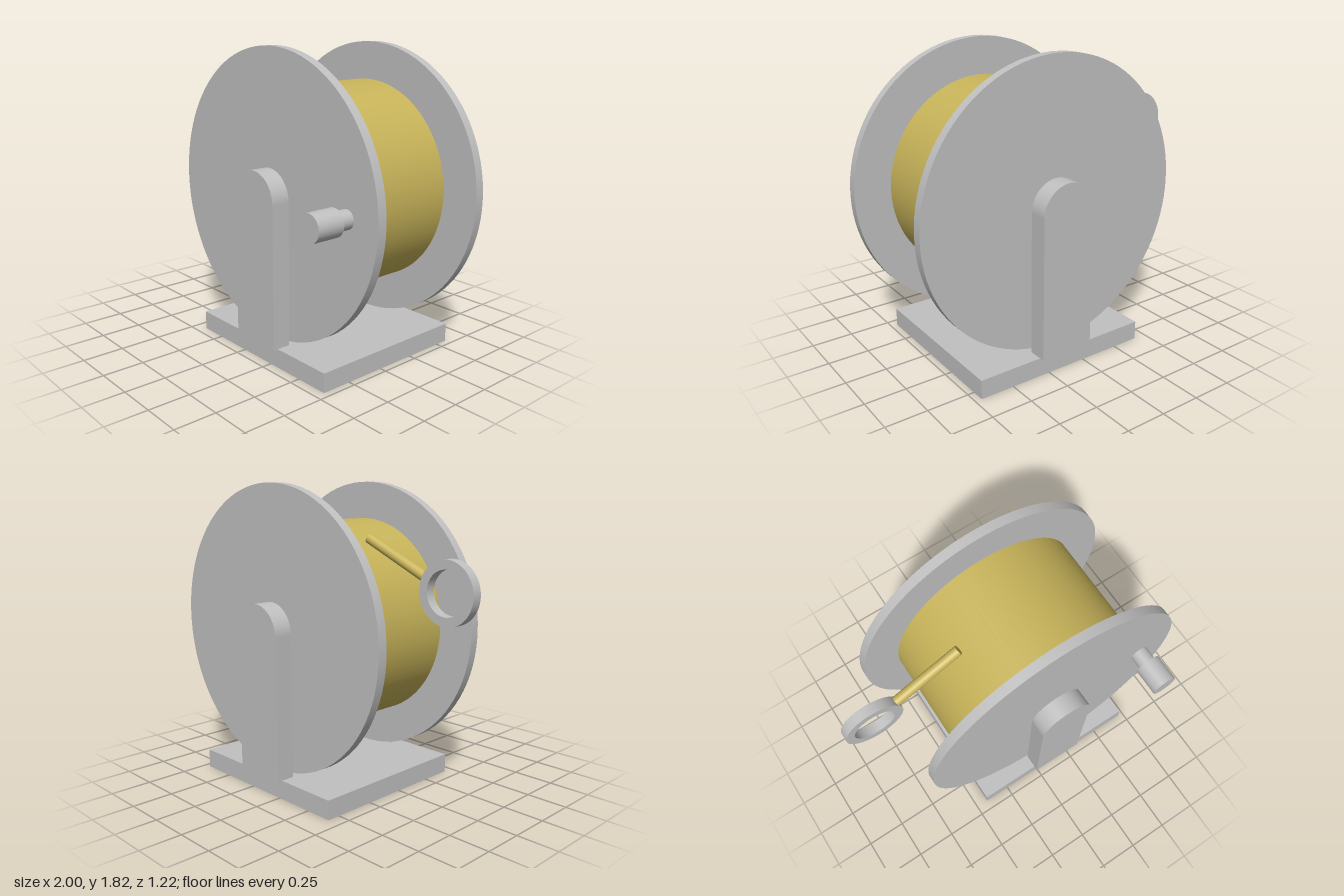
import * as THREE from 'three';

export function createModel() {
  const reel = new THREE.Group();
  reel.name = 'reel';
  const grey = new THREE.MeshStandardMaterial({ color: 0xc0c0c0 });
  grey.name = 'light grey metal';
  const gold = new THREE.MeshStandardMaterial({ color: 0xc8b45a });
  gold.name = 'golden line';

  const CX = 0.145, CY = 0.97, CZ = -0.07; // middle of the spool

  const add = (name, geometry, material, x, y, z) => {
    const mesh = new THREE.Mesh(geometry, material);
    mesh.name = name;
    mesh.position.set(x, y, z);
    reel.add(mesh);
    return mesh;
  };

  // Cylinder lying along z, from z0 to z1
  const rod = (name, radius, x, y, z0, z1, material = grey) => {
    const geometry = new THREE.CylinderGeometry(radius, radius, z1 - z0, 96);
    geometry.rotateX(Math.PI / 2);
    return add(name, geometry, material, x, y, (z0 + z1) / 2);
  };

  const extrude = (shape, depth) => {
    const geometry = new THREE.ExtrudeGeometry(shape, { depth, bevelEnabled: false, curveSegments: 48 });
    geometry.translate(0, 0, -depth / 2);
    return geometry;
  };

  // Base plate
  add('base', new THREE.BoxGeometry(1.13, 0.115, 1.02), grey, CX, 0.0575, CZ);

  // Spool: wound line, core and axle
  rod('woundLine', 0.623, CX, CY, CZ - 0.357, CZ + 0.357, gold);
  rod('core', 0.34, CX, CY, CZ - 0.364, CZ + 0.364);
  rod('axle', 0.065, CX, CY, CZ - 0.45, CZ + 0.45);

  // Round-topped post, drawn around the axle
  const post = new THREE.Shape();
  post.moveTo(-0.17, 0.115 - CY);
  post.lineTo(0.17, 0.115 - CY);
  post.lineTo(0.17, 0);
  post.absarc(0, 0, 0.17, 0, Math.PI, false);
  post.closePath();

  // Flanges and posts on both sides
  for (const [side, s] of [['front', 1], ['back', -1]]) {
    const z = CZ + s * 0.391;
    rod(side + 'Flange', 0.85, CX, CY, z - 0.029, z + 0.029);
    add(side + 'Post', extrude(post, 0.115), grey, CX, CY, CZ + s * 0.4825);
  }

  // Crank handle on the front flange
  rod('handleStem', 0.055, 0.77, CY, 0.34, 0.45);
  rod('handleKnob', 0.079, 0.77, CY, 0.44, 0.61);

  // Pull ring
  const ring = new THREE.Shape();
  ring.absarc(0, 0, 0.18, 0, Math.PI * 2, false);
  const hole = new THREE.Path();
  hole.absarc(0, 0, 0.127, 0, Math.PI * 2, true);
  ring.holes.push(hole);
  add('pullRing', extrude(ring, 0.062), grey, -0.82, 1.25, -0.075);

  // Loose end of the line, from the ring to the spool
  const start = new THREE.Vector3(-0.655, 1.32, -0.075);
  const end = new THREE.Vector3(-0.237, 1.505, -0.075);
  const along = end.clone().sub(start);
  const middle = start.clone().add(end).multiplyScalar(0.5);
  const line = add('looseLine', new THREE.CylinderGeometry(0.03, 0.03, along.length(), 32), gold,
    middle.x, middle.y, middle.z);
  line.quaternion.setFromUnitVectors(new THREE.Vector3(0, 1, 0), along.normalize());

  return reel;
}
